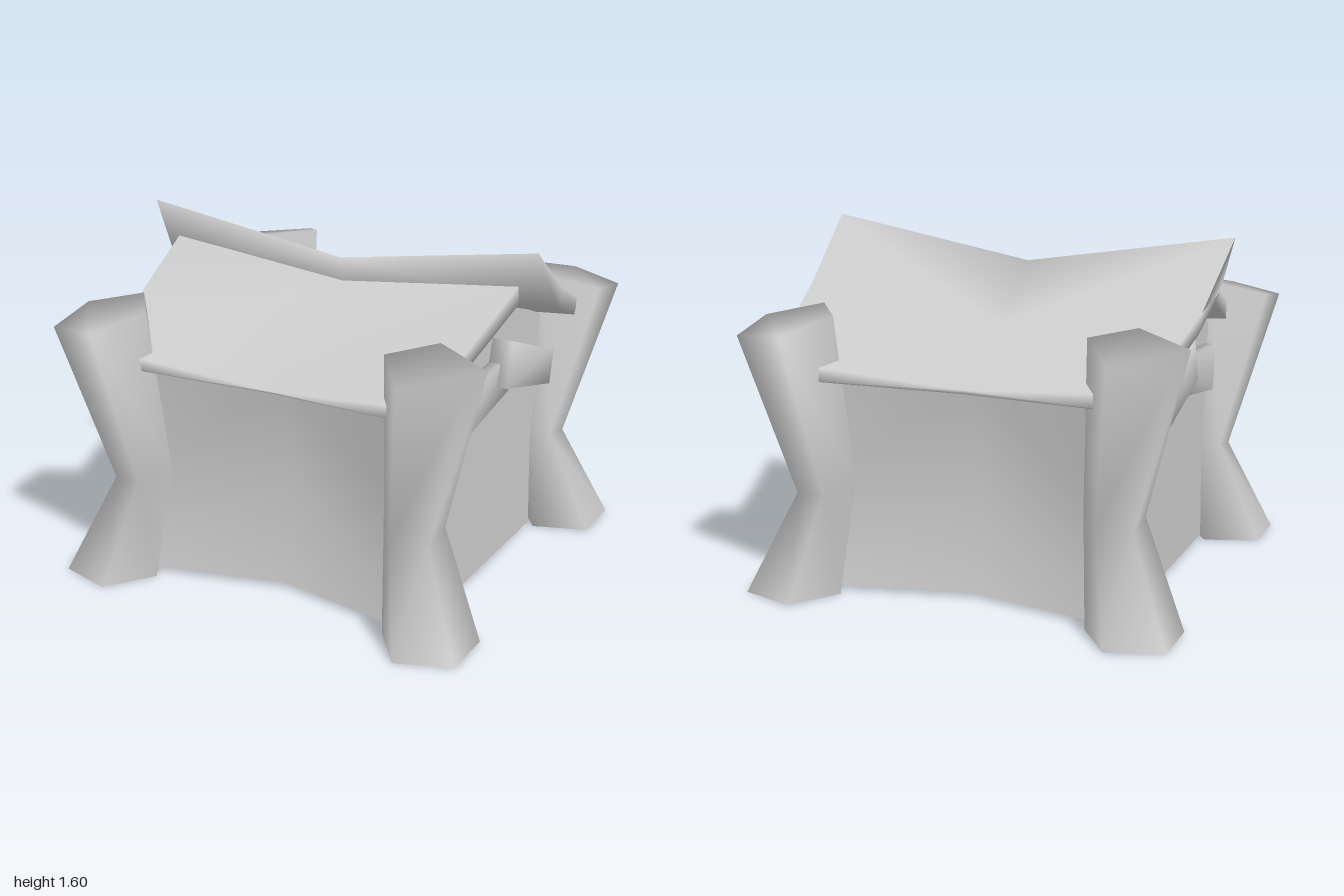
import * as THREE from 'three';

// Skin a stack of closed loops (counter-clockwise seen from the last loop's side);
// the quads listed in flip are split along their other diagonal
function loft(loops, { capStart = true, flip = [] } = {}) {
  const n = loops[0].length, index = [];
  for (let r = 0; r < loops.length - 1; r++) {
    for (let i = 0; i < n; i++) {
      const a = r * n + i, b = r * n + (i + 1) % n;
      if (flip.includes(i)) index.push(a, b, a + n, b, b + n, a + n);
      else index.push(a, b, b + n, a, b + n, a + n);
    }
  }
  const last = (loops.length - 1) * n;
  for (let k = 2; k < n; k++) {
    const j = (k + 1) % n;
    index.push(last + 1, last + k, last + j);
    if (capStart) index.push(1, j, k);
  }
  return skin(loops.flat(2), index);
}

// Smooth indexed surface
function skin(positions, index) {
  const g = new THREE.BufferGeometry();
  g.setAttribute('position', new THREE.Float32BufferAttribute(positions, 3));
  g.setIndex(index);
  g.computeVertexNormals();
  return g;
}

// Roof row: top edge corner and centre, then bottom edge corner and centre
function roofRow([x, y, z], [yc, zc], [bx, by, bz], [byc, bzc]) {
  return [[x, y, z], [0, yc, zc], [-x, y, z], [-bx, by, bz], [0, byc, bzc], [bx, by, bz]];
}

// Five-sided ring of a post, tilted down towards the outer corner
function postRing(c, cz, r, y, tilt) {
  return Array.from({ length: 5 }, (_, i) => {
    const a = Math.PI + i * Math.PI * 2 / 5;
    const dx = r * Math.cos(a), dz = -r * Math.sin(a);
    return [c + dx, y - tilt * (dx + dz), cz + dz];
  });
}

// Concave end wall: a 3 x 3 sheet pinched at mid height and at the centre
function endWall() {
  // edge x, edge y, edge z, centre y, centre z
  const rows = [[0.78, 0.02, 0.76, 0.02, 0.59], [0.72, 0.48, 0.69, 0.48, 0.49], [0.78, 1.06, 0.77, 1.0, 0.58]];
  const positions = [], index = [];
  rows.forEach(([x, y, z, yc, zc]) => positions.push(-x, y, z, 0, yc, zc, x, y, z));
  for (let r = 0; r < 2; r++) {
    const a = r * 3;
    index.push(a, a + 1, a + 4, a, a + 4, a + 3);
    index.push(a + 1, a + 2, a + 4, a + 2, a + 5, a + 4);
  }
  return skin(positions, index);
}

// Plank on a side wall from its [z, y] corners
const plank = (corners, inner, outer) =>
  loft([inner, outer].map(x => corners.map(([z, y]) => [x, y, z])));

export function createModel() {
  const model = new THREE.Group();
  const grey = new THREE.MeshStandardMaterial({ color: 0xcccccc, side: THREE.DoubleSide });
  grey.name = 'plain grey';
  const add = (name, geometry, parent = model) => {
    const mesh = new THREE.Mesh(geometry, grey);
    mesh.name = name;
    parent.add(mesh);
    return mesh;
  };

  // Four waisted corner posts, open underneath
  const post = loft([
    postRing(0.815, 0.775, 0.226, 0, 0),
    postRing(0.687, 0.68, 0.141, 0.49, 0.17),
    postRing(0.815, 0.775, 0.226, 1.252, 0.17),
  ], { capStart: false });
  for (const sx of [1, -1]) {
    for (const sz of [1, -1]) add('cornerPost', post).scale.set(sx, 1, sz);
  }

  // Front and back walls
  const wall = endWall();
  add('frontWall', wall);
  add('backWall', wall).rotation.y = Math.PI;

  // Side walls with gables, and two crossed planks on each
  const gable = new THREE.ShapeGeometry(new THREE.Shape([
    [-0.52, 0.04], [0.52, 0.04], [0.5, 0.47], [0.57, 0.93], [0.58, 1.1],
    [0, 1.34], [-0.58, 1.1], [-0.57, 0.93], [-0.5, 0.47],
  ].map(p => new THREE.Vector2(...p))));
  const frontPlank = plank([[0.51, 1.01], [0.475, 0.795], [-0.08, 0.885], [-0.04, 1.05]], 0.73, 0.79);
  const backPlank = plank([[-0.01, 1.15], [0.055, 0.945], [-0.47, 0.8], [-0.51, 0.955]], 0.73, 0.835);
  for (const s of [1, -1]) {
    const side = new THREE.Group();
    side.name = s > 0 ? 'leftSide' : 'rightSide';
    side.scale.x = s;
    model.add(side);
    const sideWall = add('sideWall', gable, side);
    sideWall.rotation.y = Math.PI / 2;
    sideWall.position.x = 0.735;
    add('frontPlank', frontPlank, side);
    add('backPlank', backPlank, side);
  }

  // Front roof slab, sagging along the middle
  add('frontRoof', loft([
    roofRow([0.88, 1.435, 0.04], [1.33, 0.03], [0.88, 1.35, 0.03], [1.25, 0.02]),
    roofRow([0.79, 1.1, 0.83], [1.0, 0.705], [0.79, 1.025, 0.82], [0.985, 0.69]),
  ], { flip: [0, 3] }));

  // Back roof slab, thickening into a raised lip over the ridge
  add('backRoof', loft([
    roofRow([0.86, 1.09, -0.87], [1.0, -0.725], [0.86, 1.01, -0.87], [0.98, -0.715]),
    roofRow([0.945, 1.33, -0.3], [1.21, -0.3], [0.93, 1.23, -0.3], [1.12, -0.3]),
    roofRow([0.98, 1.6, 0.09], [1.44, 0.06], [0.93, 1.36, 0.045], [1.25, 0.03]),
  ], { flip: [0, 3] }));

  return model;
}
